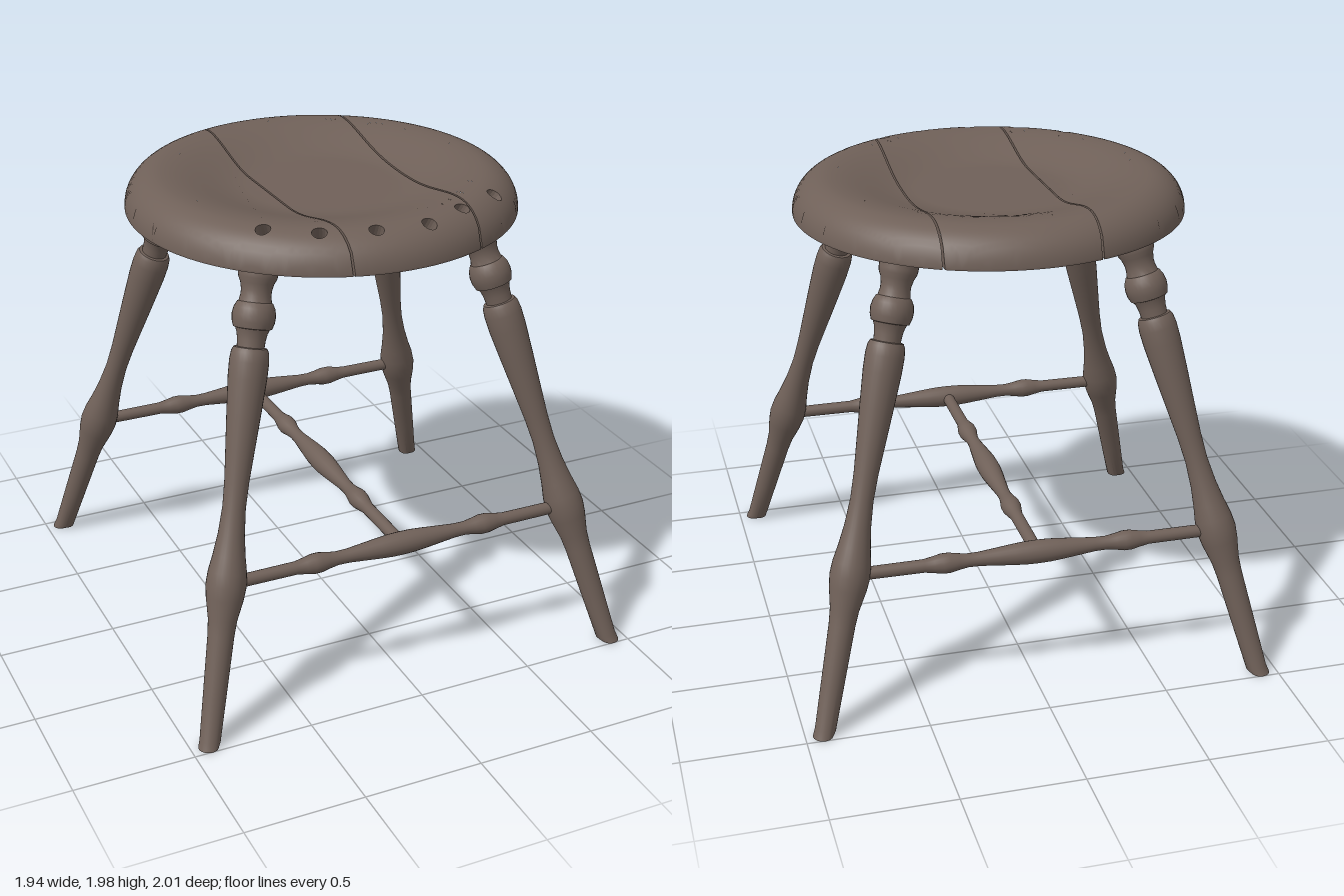
import * as THREE from 'three';
import { toCreasedNormals } from 'three/addons/utils/BufferGeometryUtils.js';

const wood = new THREE.MeshStandardMaterial({ color: 0x6f6058 });
wood.name = 'brownWood';

const R = 0.81; // seat radius
const V2 = (x, y) => new THREE.Vector2(x, y);

// Dished top with rounded rim, and slightly crowned underside, as heights over radius
const topY = (r) => {
  const t = THREE.MathUtils.clamp((r - 0.66) / (R - 0.66), 0, 1);
  return 1.9 + 0.072 * THREE.MathUtils.smoothstep(r, 0.3, 0.66) - 0.14 * (1 - Math.sqrt(1 - t * t));
};
const bottomY = (r) => 1.787 + 0.038 * THREE.MathUtils.smoothstep(r, 0.3, 0.76);
const tilt = (z) => -0.012 * z;

function lift(p, height) {
  return new THREE.Vector3(p.x, height(p.length()) + tilt(p.y), p.y);
}

function liftNormal(p, height, sign) {
  const r = Math.max(p.length(), 1e-4), e = 0.004;
  const slope = (height(r) - height(Math.max(r - e, 0))) / e;
  return new THREE.Vector3(-slope * p.x / r, 1, -slope * p.y / r + 0.012).normalize().multiplyScalar(sign);
}

// Keep the part of an outline on one side of the line x = a + b z
function clip(poly, a, b, side) {
  const out = [];
  const d = (p) => side * (p.x - a - b * p.y);
  poly.forEach((p, i) => {
    const q = poly[(i + 1) % poly.length], dp = d(p), dq = d(q);
    if (dp >= 0) out.push(p);
    if (dp * dq < 0) out.push(p.clone().lerp(q, dp / (dp - dq)));
  });
  return out;
}

// Divide long outline edges into short steps
function resample(poly, step) {
  return poly.flatMap((p, i) => {
    const q = poly[(i + 1) % poly.length];
    const n = Math.max(1, Math.ceil(p.distanceTo(q) / step));
    return Array.from({ length: n }, (_, k) => p.clone().lerp(q, k / n));
  });
}

function ring(cx, cz, r, n, dir = 1) {
  return Array.from({ length: n }, (_, i) => {
    const a = dir * i / n * Math.PI * 2;
    return V2(cx + Math.cos(a) * r, cz + Math.sin(a) * r);
  });
}

function plankGeometry(outline, topHoles, bottomHoles) {
  const pos = [], nor = [];
  const tri = (pts, normals) => pts.forEach((p, i) => {
    pos.push(p.x, p.y, p.z);
    nor.push(normals[i].x, normals[i].y, normals[i].z);
  });

  // Curved face: triangulate in plan, halve long edges, then lift
  const face = (holes, height, sign) => {
    const all = [outline, ...holes].flat();
    const split = (a, b, c) => {
      const edges = [[a, b, c], [b, c, a], [c, a, b]];
      edges.sort((e, f) => f[0].distanceTo(f[1]) - e[0].distanceTo(e[1]));
      const [p, q, o] = edges[0];
      const mid = p.clone().lerp(q, 0.5);
      if (p.distanceTo(q) > (mid.length() > 0.62 ? 0.028 : 0.06)) {
        split(p, mid, o);
        split(mid, q, o);
        return;
      }
      const up = (b.y - a.y) * (c.x - a.x) - (b.x - a.x) * (c.y - a.y);
      const t = up * sign > 0 ? [a, b, c] : [a, c, b];
      tri(t.map((v) => lift(v, height)), t.map((v) => liftNormal(v, height, sign)));
    };
    THREE.ShapeUtils.triangulateShape(outline, holes).forEach(([i, j, k]) => split(all[i], all[j], all[k]));
  };
  face(topHoles, topY, 1);
  face(bottomHoles, bottomY, -1);

  // Upright walls around the outline and through the holes
  const wall = (upper, lower) => upper.forEach((p, i) => {
    const j = (i + 1) % upper.length;
    const a = lift(p, topY), b = lift(upper[j], topY);
    const c = lift(lower[j], bottomY), d = lift(lower[i], bottomY);
    const n = b.clone().sub(a).cross(d.clone().sub(a)).normalize();
    tri([a, b, c], [n, n, n]);
    tri([a, c, d], [n, n, n]);
  });
  wall(outline, outline);
  topHoles.forEach((h, i) => wall(h, bottomHoles[i]));

  const g = new THREE.BufferGeometry();
  g.setAttribute('position', new THREE.Float32BufferAttribute(pos, 3));
  g.setAttribute('normal', new THREE.Float32BufferAttribute(nor, 3));
  return g;
}

function lathe(profile, segments) {
  return new THREE.LatheGeometry(profile.map(([y, r]) => V2(r, y)), segments);
}

function addMesh(parent, name, geometry) {
  const m = new THREE.Mesh(geometry, wood);
  m.name = name;
  parent.add(m);
  return m;
}

export function createModel() {
  const model = new THREE.Group();
  model.name = 'stool';

  // Seat: three planks with narrow gaps; slanting spindle holes along the front
  const seat = new THREE.Group();
  seat.name = 'seat';
  model.add(seat);
  const gap = 0.004;
  const cuts = [[-0.237, 0.022], [0.356, -0.007]];
  const holes = [[[-0.48, 0.52], [-0.3, 0.64]], [[-0.09, 0.7], [0.13, 0.71], [0.315, 0.63]], [[0.52, 0.52]]];
  ['rightPlank', 'middlePlank', 'leftPlank'].forEach((name, i) => {
    let outline = ring(0, 0, R, 200);
    if (i > 0) outline = clip(outline, cuts[i - 1][0] + gap, cuts[i - 1][1], 1);
    if (i < 2) outline = clip(outline, cuts[i][0] - gap, cuts[i][1], -1);
    const bore = (k) => holes[i].map(([x, z]) => ring(x * k, z * k, 0.03, 16, -1));
    addMesh(seat, name, plankGeometry(resample(outline, 0.027), bore(1), bore(0.87)));
  });

  // Legs: turned profile as [height, radius], splayed outwards, feet cut level
  const legProfile = [
    [-0.03, 0], [-0.03, 0.041], [0.02, 0.042], [0.2, 0.047], [0.42, 0.053], [0.48, 0.058],
    [0.56, 0.075], [0.61, 0.081], [0.66, 0.077], [0.72, 0.065], [0.8, 0.053], [0.9, 0.046],
    [1.0, 0.049], [1.12, 0.058], [1.25, 0.068], [1.38, 0.077], [1.44, 0.078], [1.475, 0.074],
    [1.49, 0.066], [1.492, 0.054], [1.52, 0.056], [1.545, 0.061], [1.56, 0.068], [1.562, 0.076],
    [1.585, 0.084], [1.61, 0.086], [1.635, 0.081], [1.655, 0.07], [1.657, 0.065], [1.68, 0.06],
    [1.7, 0.06], [1.725, 0.066], [1.745, 0.076], [1.76, 0.078], [1.85, 0.078],
  ];
  const up = new THREE.Vector3(0, 1, 0);
  for (const sx of [1, -1]) for (const sz of [1, -1]) {
    const axis = new THREE.Vector3(-0.25 * sx, 1, -0.275 * sz);
    const stretch = axis.length();
    const g = lathe(legProfile.map(([y, r]) => [y * stretch, r]), 28);
    g.applyQuaternion(new THREE.Quaternion().setFromUnitVectors(up, axis.normalize()));
    g.translate(0.922 * sx, 0, 0.955 * sz);
    const p = g.attributes.position;
    for (let i = 0; i < p.count; i++) p.setY(i, Math.max(0, p.getY(i)));
    addMesh(model, (sz > 0 ? 'front' : 'back') + (sx > 0 ? 'Left' : 'Right') + 'Leg', toCreasedNormals(g, 0.7));
  }

  // Stretchers: front and back rails joined by a middle rail
  const half = [
    [0, 0.048], [0.05, 0.047], [0.1, 0.043], [0.17, 0.036], [0.24, 0.029], [0.29, 0.028],
    [0.33, 0.034], [0.365, 0.041], [0.395, 0.041], [0.43, 0.034], [0.47, 0.027], [0.77, 0.026],
  ];
  const rail = [...half.slice(1).reverse().map(([y, r]) => [-y, r]), ...half];
  for (const s of [1, -1]) {
    const m = addMesh(model, s > 0 ? 'frontStretcher' : 'backStretcher', lathe(rail, 20));
    m.rotation.z = Math.PI / 2;
    m.position.set(0, 0.61, 0.785 * s);
  }
  const middle = addMesh(model, 'middleStretcher', lathe(rail, 20));
  middle.rotation.x = Math.PI / 2;
  middle.position.y = 0.61;

  return model;
}
